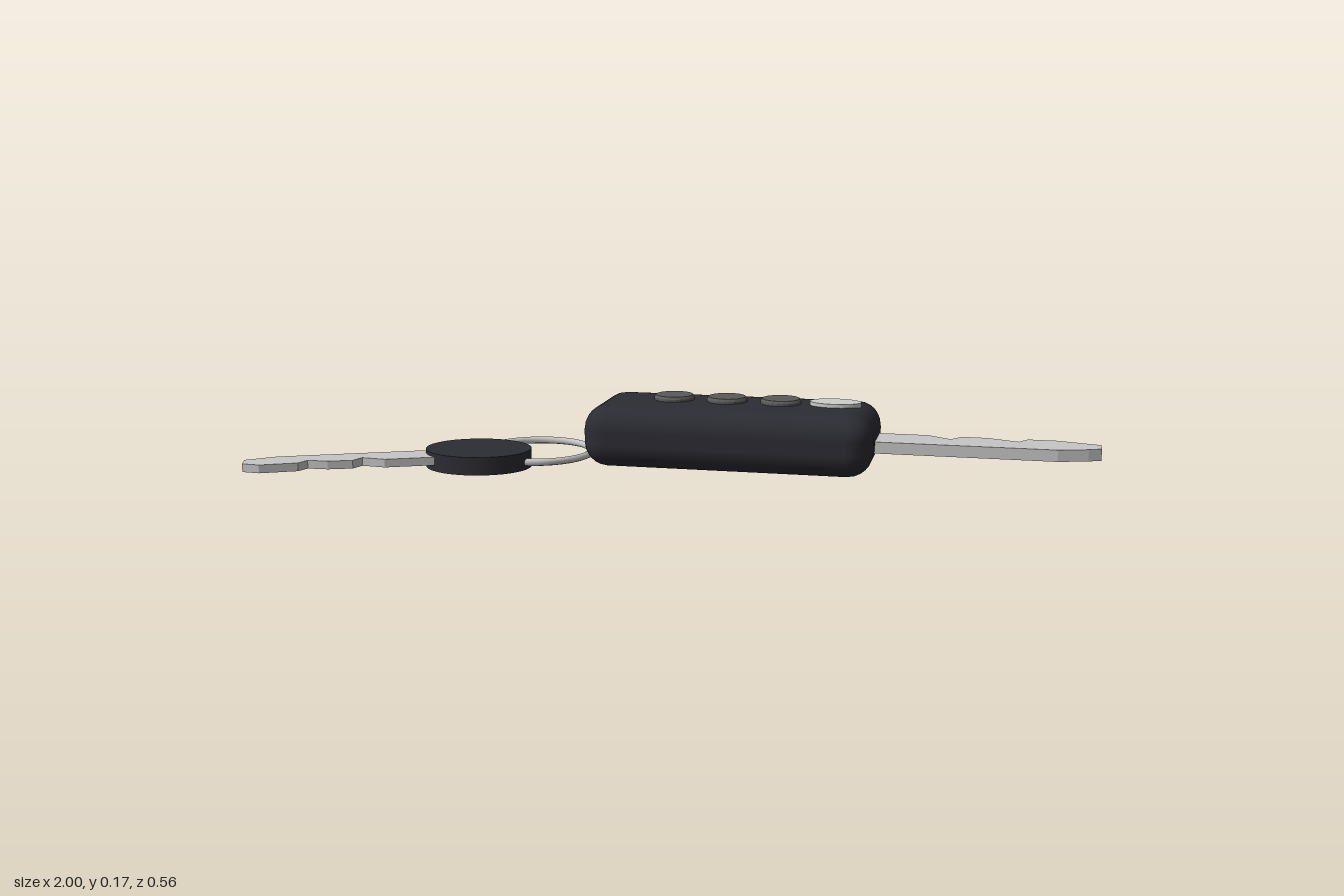
import * as THREE from 'three';
import { RoundedBoxGeometry } from 'three/addons/geometries/RoundedBoxGeometry.js';

const material = (name, color) => {
  const m = new THREE.MeshStandardMaterial({ color });
  m.name = name;
  return m;
};

export function createModel() {
  const group = new THREE.Group();
  const plastic = material('black plastic', 0x2c2c34);
  const steel = material('steel', 0xc6c6c8);
  const rubber = material('grey rubber', 0x5a5a5a);
  const pale = material('pale button', 0xcecece);

  const add = (name, geometry, mat, x = 0, y = 0, z = 0) => {
    const mesh = new THREE.Mesh(geometry, mat);
    mesh.name = name;
    mesh.position.set(x, y, z);
    group.add(mesh);
    return mesh;
  };

  // Flat blade from an [x, z] outline, its upper face at height top
  const addBlade = (name, outline, top, thickness) => {
    const shape = new THREE.Shape(outline.map(([x, z]) => new THREE.Vector2(x, z)));
    const geo = new THREE.ExtrudeGeometry(shape, { depth: thickness, bevelEnabled: false });
    geo.rotateX(Math.PI / 2);
    add(name, geo, steel, 0, top, 0);
  };

  // Remote fob
  add('fobBody', new RoundedBoxGeometry(0.705, 0.152, 0.298, 3, 0.06), plastic, 0.123, 0.079, -0.133);

  // Three round buttons with a tapered rim, and one oval button
  [-0.03, 0.103, 0.237].forEach((x, i) => {
    const profile = [[0.05, 0], [0.05, 0.012], [0.046, 0.018], [0, 0.018]].map(([r, y]) => new THREE.Vector2(r, y));
    const geo = new THREE.LatheGeometry(profile, 24).toNonIndexed();
    geo.computeVertexNormals();
    add('button' + (i + 1), geo, rubber, x, 0.149, -0.152);
  });
  const oval = add('ovalButton', new THREE.CylinderGeometry(1, 1, 0.016, 24), pale, 0.371, 0.156, -0.152);
  oval.scale.set(0.063, 1, 0.041);

  // Blade of the remote key
  addBlade('mainBlade', [
    [0.42, -0.19], [0.595, -0.19], [0.65, -0.152], [0.675, -0.187], [0.735, -0.187],
    [0.81, -0.157], [0.83, -0.19], [0.9, -0.19], [1, -0.16], [1, -0.115],
    [0.97, -0.1], [0.9, -0.079], [0.42, -0.079],
  ], 0.083, 0.028);

  // Split ring joining the two keys
  const ring = new THREE.TorusGeometry(0.137, 0.009, 8, 40);
  ring.rotateX(Math.PI / 2);
  add('keyRing', ring, steel, -0.371, 0.018, -0.098);

  // Small key: oval head and blade
  const head = add('smallKeyHead', new THREE.CylinderGeometry(1, 1, 0.044, 32), plastic, -0.485, 0.022, 0.018);
  head.scale.set(0.131, 1, 0.114);
  addBlade('smallBlade', [
    [-0.5, 0], [-0.6, 0.027], [-0.94, 0.184], [-1, 0.237], [-0.985, 0.278], [-0.94, 0.282],
    [-0.86, 0.24], [-0.85, 0.208], [-0.8, 0.206], [-0.745, 0.184], [-0.735, 0.15],
    [-0.675, 0.156], [-0.58, 0.112], [-0.47, 0.06],
  ], 0.035, 0.02);

  return group;
}
